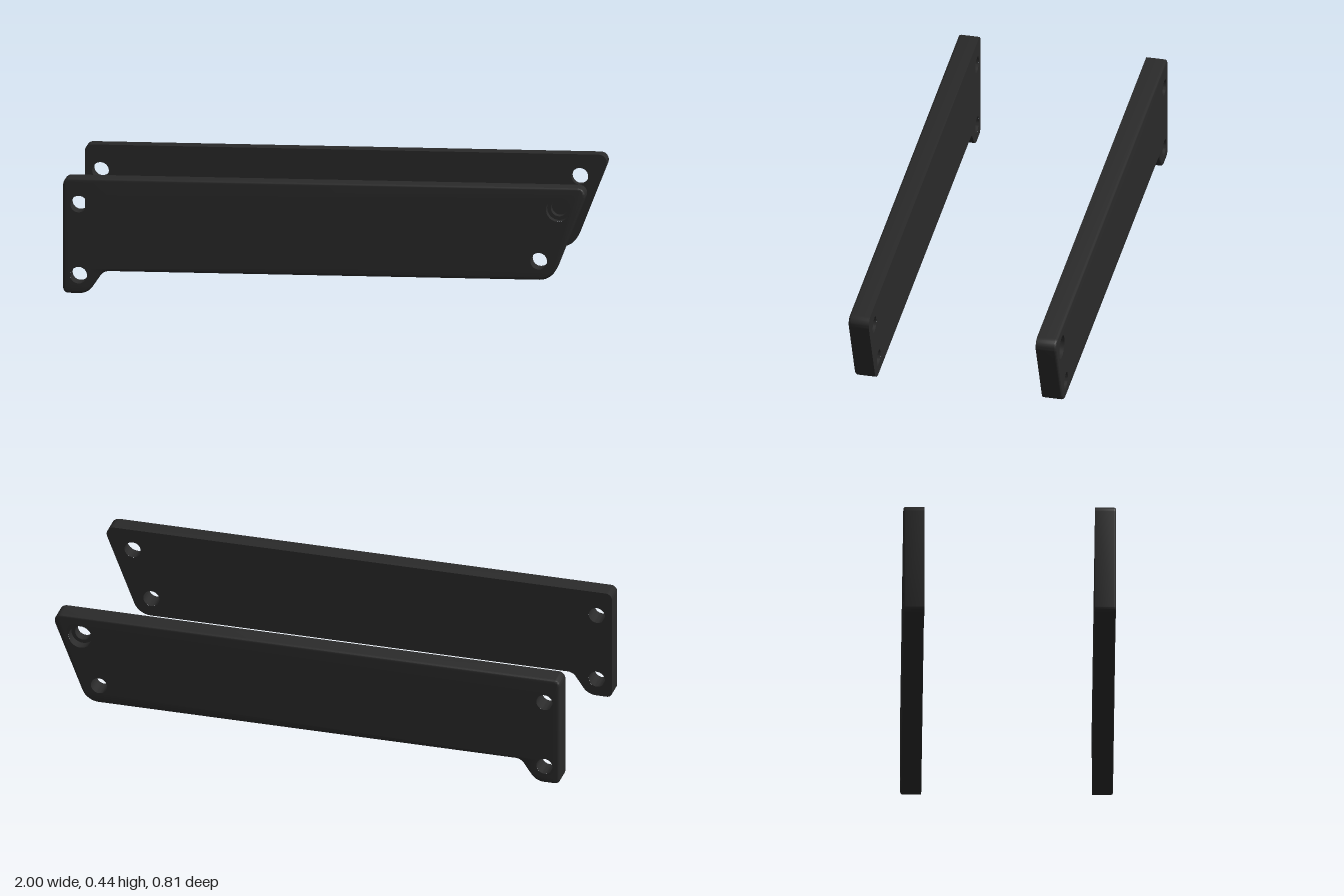
import * as THREE from 'three';
import { mergeGeometries, toCreasedNormals } from 'three/addons/utils/BufferGeometryUtils.js';

const THICK = 0.08, INNER_Z = 0.325, EDGE = 0.008, HOLE_R = 0.032, BORE_R = 0.046, BORE_DEPTH = 0.04;

// Outline corners, counter-clockwise: x, y, corner radius
const CORNERS = [
  [-1, 0, 0.02], [-0.905, 0, 0.06], [-0.845, 0.087, 0.04],
  [0.873, 0.087, 0.07], [1.014, 0.445, 0.03], [-1, 0.445, 0.025],
];
// Screw holes: x, y, radius on the outer face
const HOLES = [
  [-0.94, 0.345, HOLE_R], [-0.94, 0.07, HOLE_R], [0.823, 0.16, HOLE_R], [0.897, 0.36, BORE_R],
];

// Polygon with each corner replaced by a tangent arc
function roundedOutline(corners, steps = 8) {
  const v = corners.map(([x, y]) => new THREE.Vector2(x, y));
  return v.flatMap((p, i) => {
    const r = corners[i][2];
    const a = v.at(i - 1).clone().sub(p).normalize();
    const b = v[(i + 1) % v.length].clone().sub(p).normalize();
    const half = Math.acos(a.dot(b)) / 2;
    const centre = a.clone().add(b).normalize().multiplyScalar(r / Math.sin(half)).add(p);
    const start = a.multiplyScalar(r / Math.tan(half)).add(p).sub(centre);
    const end = b.multiplyScalar(r / Math.tan(half)).add(p).sub(centre);
    const turn = Math.atan2(start.cross(end), start.dot(end));
    return Array.from({ length: steps + 1 }, (_, k) =>
      start.clone().rotateAround(new THREE.Vector2(), turn * k / steps).add(centre));
  });
}

// Move every outline point inwards by d
function inset(points, d) {
  return points.map((p, i) => {
    const dir = points[(i + 1) % points.length].clone().sub(points.at(i - 1)).normalize();
    return new THREE.Vector2(p.x - dir.y * d, p.y + dir.x * d);
  });
}

// Reverse the winding of a non-indexed geometry
function flip(geo) {
  for (const attr of Object.values(geo.attributes)) {
    for (let i = 0; i < attr.count; i += 3) {
      for (let c = 0; c < attr.itemSize; c++) {
        const t = attr.getComponent(i + 1, c);
        attr.setComponent(i + 1, c, attr.getComponent(i + 2, c));
        attr.setComponent(i + 2, c, t);
      }
    }
  }
  return geo;
}

function bare(geo) {
  const g = geo.index ? geo.toNonIndexed() : geo;
  g.deleteAttribute('uv');
  g.deleteAttribute('normal');
  return g;
}

// Flat face with the screw holes cut out
function face(points, z, outer) {
  const shape = new THREE.Shape(points);
  for (const [x, y, r] of HOLES) {
    shape.holes.push(new THREE.Path().absarc(x, y, outer ? r : HOLE_R, 0, Math.PI * 2, true));
  }
  const g = bare(new THREE.ShapeGeometry(shape, 32)).translate(0, 0, z);
  return outer ? g : flip(g);
}

// Inward-facing wall of a round hole
function holeWall(x, y, r, z0, z1) {
  const g = new THREE.CylinderGeometry(r, r, z1 - z0, 32, 1, true).rotateX(Math.PI / 2);
  return flip(bare(g)).translate(x, y, (z0 + z1) / 2);
}

// Rim of the plate: straight wall, then a small rounded outer edge
function rim(outline) {
  const rings = [[outline, 0]];
  for (let k = 0; k <= 3; k++) {
    const a = k / 3 * Math.PI / 2;
    rings.push([inset(outline, EDGE * (1 - Math.cos(a))), THICK - EDGE * (1 - Math.sin(a))]);
  }
  const pos = [], n = outline.length;
  for (let s = 0; s < rings.length - 1; s++) {
    const [lo, z0] = rings[s], [hi, z1] = rings[s + 1];
    for (let i = 0; i < n; i++) {
      const j = (i + 1) % n;
      const a = [lo[i].x, lo[i].y, z0], b = [lo[j].x, lo[j].y, z0];
      const c = [hi[j].x, hi[j].y, z1], d = [hi[i].x, hi[i].y, z1];
      pos.push(...a, ...b, ...c, ...a, ...c, ...d);
    }
  }
  return new THREE.BufferGeometry().setAttribute('position', new THREE.Float32BufferAttribute(pos, 3));
}

function plateGeometry() {
  const outline = roundedOutline(CORNERS);
  const parts = [rim(outline), face(outline, 0, false), face(inset(outline, EDGE), THICK, true)];
  for (const [x, y, r] of HOLES) {
    const floor = r > HOLE_R ? THICK - BORE_DEPTH : THICK;
    parts.push(holeWall(x, y, HOLE_R, 0, floor));
    if (r > HOLE_R) {
      // Counterbore for the screw head
      parts.push(holeWall(x, y, r, floor, THICK));
      parts.push(bare(new THREE.RingGeometry(HOLE_R, r, 32)).translate(x, y, floor));
    }
  }
  return toCreasedNormals(mergeGeometries(parts), 0.6).translate(0, 0, INNER_Z);
}

export function createModel() {
  const group = new THREE.Group();
  group.name = 'sidePlates';
  const material = new THREE.MeshStandardMaterial({ color: 0x2a2a2a });

  const front = new THREE.Mesh(plateGeometry(), material);
  front.name = 'frontPlate';

  // Mirrored twin, counterbore facing outwards
  const back = new THREE.Mesh(flip(plateGeometry().scale(1, 1, -1)), material);
  back.name = 'backPlate';

  group.add(front, back);
  return group;
}
